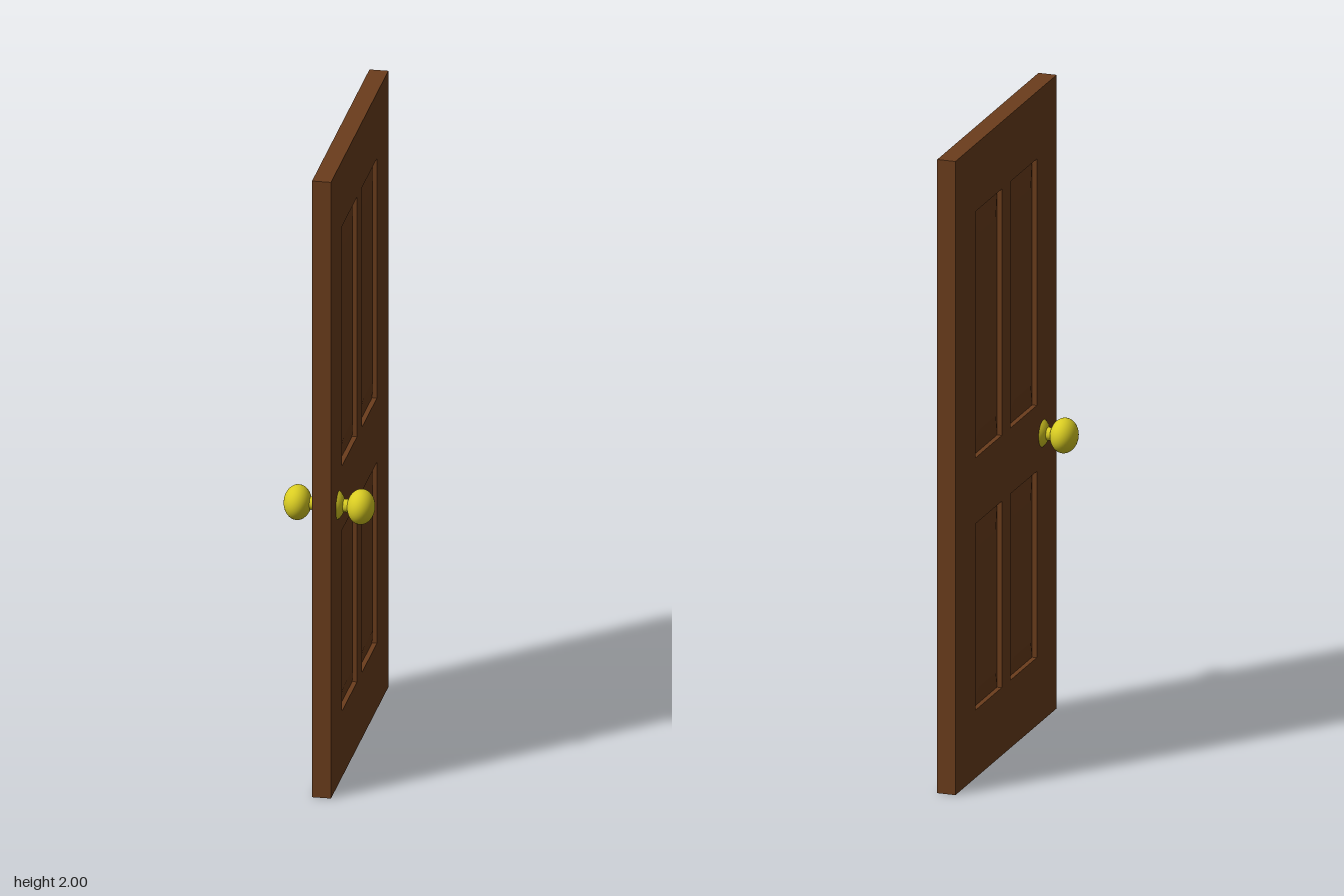
import * as THREE from 'three';

const wood = new THREE.MeshStandardMaterial({ color: 0x6b3d1c });
const brass = new THREE.MeshStandardMaterial({ color: 0xd9cc22 });

const HALF_WIDTH = 0.452, HEIGHT = 2, HALF_THICK = 0.029, CENTER_X = -0.002;
const RECESS = 0.015, FIELD_DROP = 0.004;

// Panel openings: z range, y range, bevel widths at the bottom and top
const panels = [];
for (const [z0, z1] of [[0.041, 0.275], [-0.272, -0.038]]) {
  panels.push({ name: 'upperPanel', z0, z1, y0: 1.01, y1: 1.788, low: 0.075, high: 0.08 });
  panels.push({ name: 'lowerPanel', z0, z1, y0: 0.214, y1: 0.802, low: 0.06, high: 0.08 });
}

function rectangle(target, x0, x1, y0, y1) {
  target.moveTo(x0, y0);
  target.lineTo(x1, y0);
  target.lineTo(x1, y1);
  target.lineTo(x0, y1);
  target.closePath();
  return target;
}

// Raised panel facing +z: four sloping bevels around a flat field
function raisedPanelGeometry(x0, x1, y0, y1, low, high) {
  const side = 0.043;
  const ring = (a, b, c, d, z) => [[a, c, z], [b, c, z], [b, d, z], [a, d, z]];
  const outer = ring(x0, x1, y0, y1, HALF_THICK - RECESS);
  const inner = ring(x0 + side, x1 - side, y0 + low, y1 - high, HALF_THICK - FIELD_DROP);
  const points = [];
  const quad = (a, b, c, d) => points.push(...a, ...b, ...c, ...a, ...c, ...d);
  for (let i = 0; i < 4; i++) {
    const j = (i + 1) % 4;
    quad(outer[i], outer[j], inner[j], inner[i]);
  }
  quad(...inner);
  const geometry = new THREE.BufferGeometry();
  geometry.setAttribute('position', new THREE.Float32BufferAttribute(points, 3));
  geometry.computeVertexNormals();
  return geometry;
}

function addMesh(parent, name, geometry, material) {
  const mesh = new THREE.Mesh(geometry, material);
  mesh.name = name;
  parent.add(mesh);
  return mesh;
}

function ellipsoid(rx, r) {
  return new THREE.SphereGeometry(1, 40, 28).rotateZ(Math.PI / 2).scale(rx, r, r);
}

export function createModel() {
  const model = new THREE.Group();
  model.name = 'door';

  // Door slab with four openings, turned so its broad faces look along x
  const outline = rectangle(new THREE.Shape(), -HALF_WIDTH, HALF_WIDTH, 0, HEIGHT);
  for (const p of panels) outline.holes.push(rectangle(new THREE.Path(), -p.z1, -p.z0, p.y0, p.y1));
  const slab = new THREE.ExtrudeGeometry(outline, { depth: HALF_THICK * 2, bevelEnabled: false });
  slab.translate(0, 0, -HALF_THICK).rotateY(Math.PI / 2);
  addMesh(model, 'doorFrame', slab, wood).position.x = CENTER_X;

  // Raised panels on both faces
  for (const side of [1, -1]) {
    const face = new THREE.Group();
    face.name = side > 0 ? 'leftFacePanels' : 'rightFacePanels';
    face.rotation.y = side * Math.PI / 2;
    face.position.x = CENTER_X;
    for (const p of panels) {
      const [x0, x1] = side > 0 ? [-p.z1, -p.z0] : [p.z0, p.z1];
      addMesh(face, p.name, raisedPanelGeometry(x0, x1, p.y0, p.y1, p.low, p.high), wood);
    }
    model.add(face);
  }

  // Knob set: domed rosette and spindle through the door, a knob at each end
  const knobSet = new THREE.Group();
  knobSet.name = 'knobSet';
  knobSet.position.set(-0.001, 0.905, 0.333);
  addMesh(knobSet, 'rosette', ellipsoid(0.048, 0.054), brass);
  addMesh(knobSet, 'spindle', new THREE.CylinderGeometry(0.02, 0.02, 0.18, 32).rotateZ(Math.PI / 2), brass);
  for (const side of [1, -1]) {
    addMesh(knobSet, side > 0 ? 'leftKnob' : 'rightKnob', ellipsoid(0.042, 0.054), brass).position.x = side * 0.097;
  }
  model.add(knobSet);
  return model;
}
